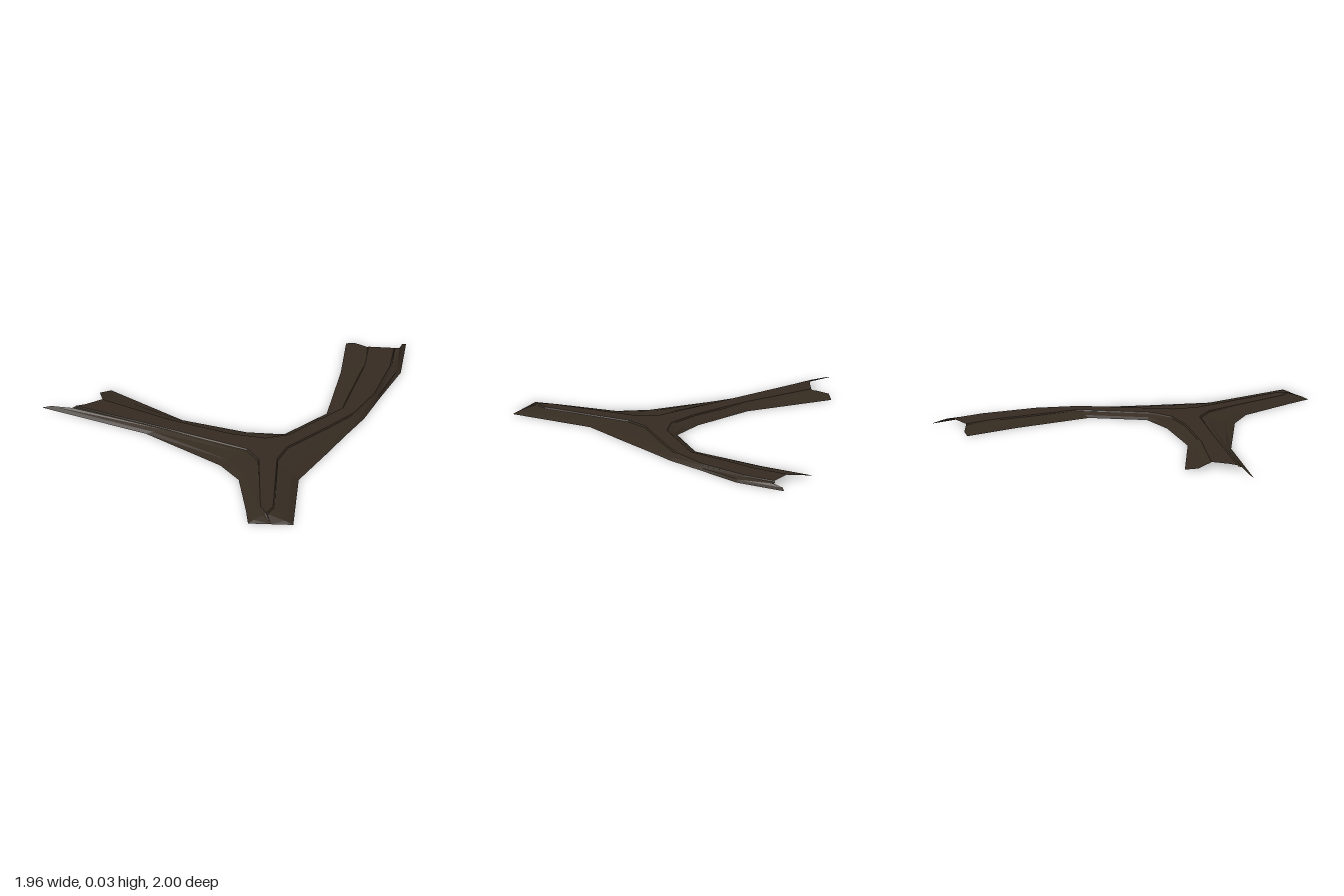
import * as THREE from 'three';

const CREST = 0.03;
// Height at each row of the bank, from outer edge to raised crown
const ROW_T = [0, 0.3, 0.8];
const ROW_Y = [0, 0.012, 0.023, 0.024, CREST];
const STEP = 0.008; // width of the steep step beside the crown

// Each side runs from one arm end to the next: outer edge, crown line,
// and the ragged in-between points where an arm breaks off.
const SIDES = [
  {
    name: 'leftBank',
    edge: [[-0.98, -0.19], [-0.39, 0.06], [0.04, 0.38], [0.15, 0.53], [0.21, 0.86], [0.23, 1]],
    crown: [[-0.79, -0.17], [-0.26, 0.05], [0.18, 0.24], [0.25, 0.35], [0.29, 0.86], [0.325, 0.93]],
    first: [[-0.93, -0.19], [-0.81, -0.157]],
  },
  {
    name: 'rightBank',
    edge: [[0.48, 1], [0.48, 0.86], [0.48, 0.51], [0.62, 0.21], [0.71, 0.01], [0.8, -0.18], [0.87, -0.4], [0.97, -0.69], [0.98, -1]],
    crown: [[0.325, 0.93], [0.36, 0.86], [0.35, 0.34], [0.395, 0.21], [0.6, -0.02], [0.74, -0.185], [0.84, -0.4], [0.91, -0.71], [0.92, -0.905]],
    last: [[0.96, -0.98], [0.95, -0.92]],
  },
  {
    name: 'backBank',
    edge: [[0.65, -0.99], [0.64, -0.67], [0.59, -0.22], [0.37, 0.02], [0.27, 0.015], [0.16, 0.01], [-0.2, -0.1], [-0.61, -0.4]],
    crown: [[0.78, -0.91], [0.77, -0.7], [0.68, -0.24], [0.4, 0.07], [0.27, 0.115], [0.08, 0.08], [-0.26, -0.05], [-0.65, -0.25]],
    first: [[0.7, -0.975], [0.76, -0.925]],
    last: [[-0.67, -0.35], [-0.655, -0.28]],
  },
];

// Cross-section points of a bank at station i
function section(side, i) {
  const e = new THREE.Vector2(...side.edge[i]);
  const c = new THREE.Vector2(...side.crown[i]);
  const pts = ROW_T.map((t) => e.clone().lerp(c, t));
  const ragged = i === 0 ? side.first : i === side.edge.length - 1 ? side.last : null;
  if (ragged) ragged.forEach((p, k) => pts[k + 1].set(...p));
  pts.push(c.clone().lerp(e, STEP / c.distanceTo(e)), c);
  return pts.map((p, k) => new THREE.Vector3(p.x, ROW_Y[k], p.y));
}

function fromTriangles(points) {
  const g = new THREE.BufferGeometry().setFromPoints(points);
  g.computeVertexNormals();
  return g;
}

function bankGeometry(side) {
  const rows = side.edge.map((_, i) => section(side, i));
  const tris = [];
  for (let i = 0; i < rows.length - 1; i++) {
    for (let k = 0; k < ROW_Y.length - 1; k++) {
      const a = rows[i][k], b = rows[i + 1][k], c = rows[i + 1][k + 1], d = rows[i][k + 1];
      tris.push(a, b, c, a, c, d);
    }
  }
  return fromTriangles(tris);
}

export function createModel() {
  const group = new THREE.Group();
  group.name = 'forkedDirtPath';
  const earth = new THREE.MeshStandardMaterial({ color: 0x352b21, flatShading: true, side: THREE.DoubleSide });
  earth.name = 'darkEarth';
  const add = (name, geometry) => {
    const mesh = new THREE.Mesh(geometry, earth);
    mesh.name = name;
    group.add(mesh);
  };

  // Sloping banks along the three sides
  SIDES.forEach((s) => add(s.name, bankGeometry(s)));

  // Flat raised crown down the middle of all three arms
  const outline = [...SIDES[0].crown, ...SIDES[1].crown.slice(1), ...SIDES[2].crown, [-0.74, -0.19]];
  const shape = new THREE.Shape(outline.map(([x, z]) => new THREE.Vector2(x, -z)));
  const crown = new THREE.ShapeGeometry(shape);
  crown.rotateX(-Math.PI / 2).translate(0, CREST, 0);
  add('crown', crown);

  // Ramp closing the front arm
  const left = section(SIDES[0], SIDES[0].edge.length - 1);
  const right = section(SIDES[1], 0);
  const mid = new THREE.Vector3(0.355, 0, 1);
  const tris = [];
  for (let k = 0; k < left.length - 1; k++) {
    tris.push(mid, left[k + 1], left[k], mid, right[k], right[k + 1]);
  }
  add('frontRamp', fromTriangles(tris));
  return group;
}
